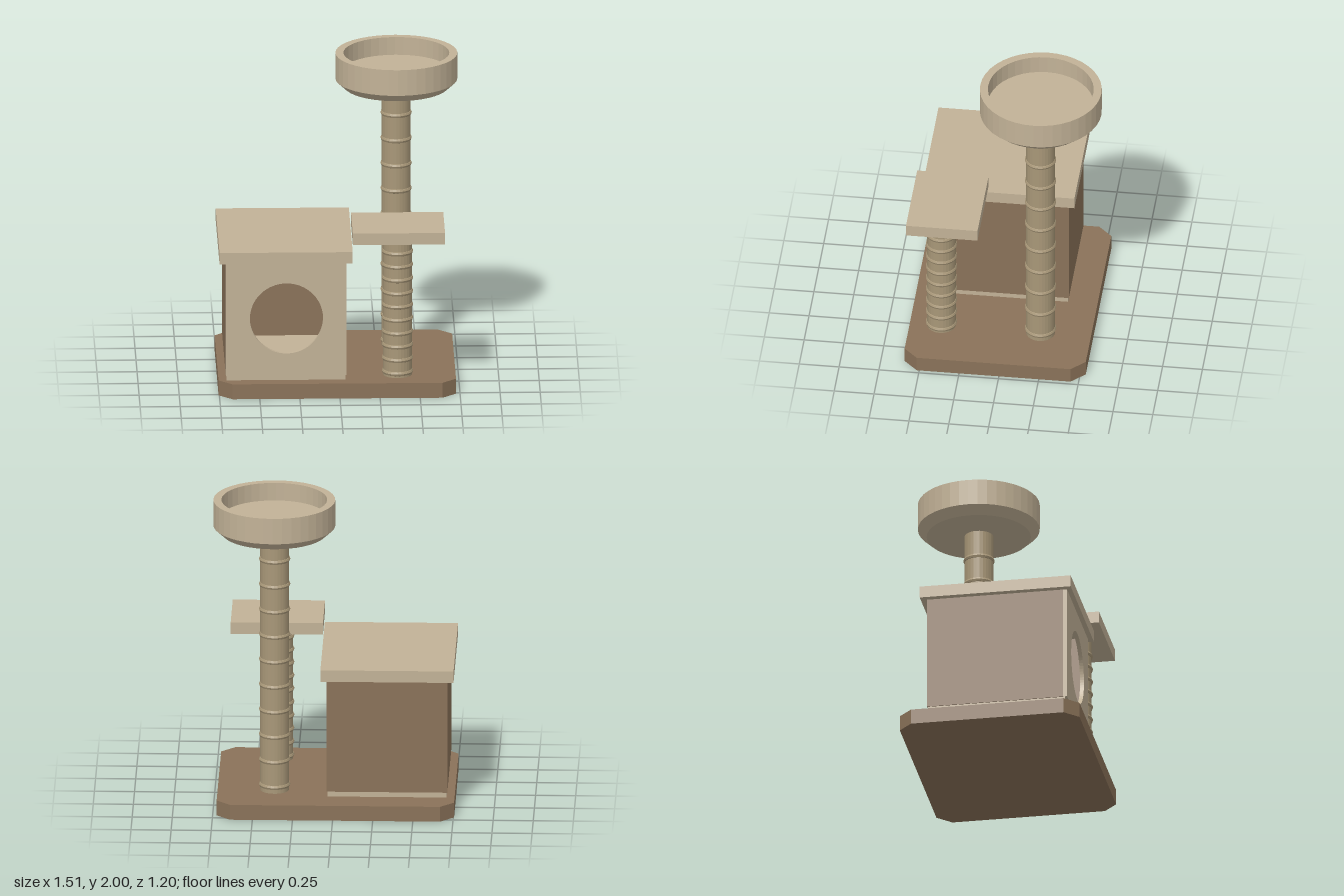
import * as THREE from 'three';

const mat = (color, extra = {}) => {
  const m = new THREE.MeshStandardMaterial(extra);
  m.color.set(color);
  return m;
};

export function createModel() {
  const group = new THREE.Group();
  const plush = mat(0xc2b297, { flatShading: true });
  const wood = mat(0x8a7259, { flatShading: true });
  const sisal = mat(0xa89778, { flatShading: true });

  const add = (name, geometry, material, parent = group) => {
    const mesh = new THREE.Mesh(geometry, material);
    mesh.name = name;
    parent.add(mesh);
    return mesh;
  };
  // Box given by its limits on each axis
  const box = (name, [x0, x1], [y0, y1], [z0, z1], material, parent) =>
    add(name, new THREE.BoxGeometry(x1 - x0, y1 - y0, z1 - z0), material, parent)
      .position.set((x0 + x1) / 2, (y0 + y1) / 2, (z0 + z1) / 2);

  // Base board with cut corners
  const [bx0, bx1, bz0, bz1, c] = [-0.755, 0.725, -0.535, 0.602, 0.086];
  const outline = new THREE.Shape([
    [bx0 + c, -bz1], [bx1 - c, -bz1], [bx1, -bz1 + c], [bx1, -bz0 - c],
    [bx1 - c, -bz0], [bx0 + c, -bz0], [bx0, -bz0 - c], [bx0, -bz1 + c],
  ].map(([x, y]) => new THREE.Vector2(x, y)));
  add('base', new THREE.ExtrudeGeometry(outline, { depth: 0.097, bevelEnabled: false })
    .rotateX(-Math.PI / 2), wood);

  // House: floor, three dark walls, light front with a round door, roof
  const house = new THREE.Group();
  house.name = 'house';
  group.add(house);
  const [x0, x1, y0, y1, z0, z1, t] = [-0.71, 0.042, 0.13, 0.865, -0.355, 0.53, 0.025];
  box('houseFloor', [x0 + 0.005, x1 - 0.005], [0.097, y0], [z0 + 0.005, z1 - 0.015], plush, house);
  box('rightWall', [x0, x0 + t], [y0, y1], [z0 + t, z1 - t], wood, house);
  box('leftWall', [x1 - t, x1], [y0, y1], [z0 + t, z1 - t], wood, house);
  box('backWall', [x0, x1], [y0, y1], [z0, z0 + t], wood, house);
  const front = new THREE.Shape([
    new THREE.Vector2(x0, y0), new THREE.Vector2(x1, y0),
    new THREE.Vector2(x1, y1), new THREE.Vector2(x0, y1),
  ]);
  front.holes.push(new THREE.Path().absarc(-0.332, 0.502, 0.228, 0, Math.PI * 2, true));
  add('frontWall', new THREE.ExtrudeGeometry(front, { depth: t, bevelEnabled: false, curveSegments: 40 }),
    plush, house).position.z = z1 - t;
  box('roof', [-0.75, 0.08], [y1, 0.94], [-0.395, 0.56], plush, house);

  // Rope-wrapped posts
  const post = (name, x, z, top, firstRing, step) => {
    const g = new THREE.Group();
    g.name = name;
    g.position.set(x, 0, z);
    group.add(g);
    const h = top - 0.095;
    add('postCore', new THREE.CylinderGeometry(0.09, 0.09, h, 28), sisal, g).position.y = 0.095 + h / 2;
    for (let i = 0; i < 10; i++) {
      const ring = add('ropeRing', new THREE.TorusGeometry(0.081, 0.017, 8, 28).rotateX(Math.PI / 2), sisal, g);
      ring.position.y = firstRing + i * step;
    }
  };
  post('shortPost', 0.363, 0.405, 1.0, 0.122, 0.0866);
  post('tallPost', 0.37, -0.218, 1.79, 0.135, 0.1643);

  // Step platform on the short post
  box('platform', [0.08, 0.655], [0.995, 1.07], [0.143, 0.592], plush);

  // Round bed on the tall post
  const bed = [[0, 1.782], [0.325, 1.782], [0.38, 1.833], [0.38, 2], [0.33, 2], [0.33, 1.885], [0, 1.885]];
  add('bowlBed', new THREE.LatheGeometry(bed.map(([r, y]) => new THREE.Vector2(r, y)), 40), plush)
    .position.set(0.372, 0, -0.22);

  return group;
}
